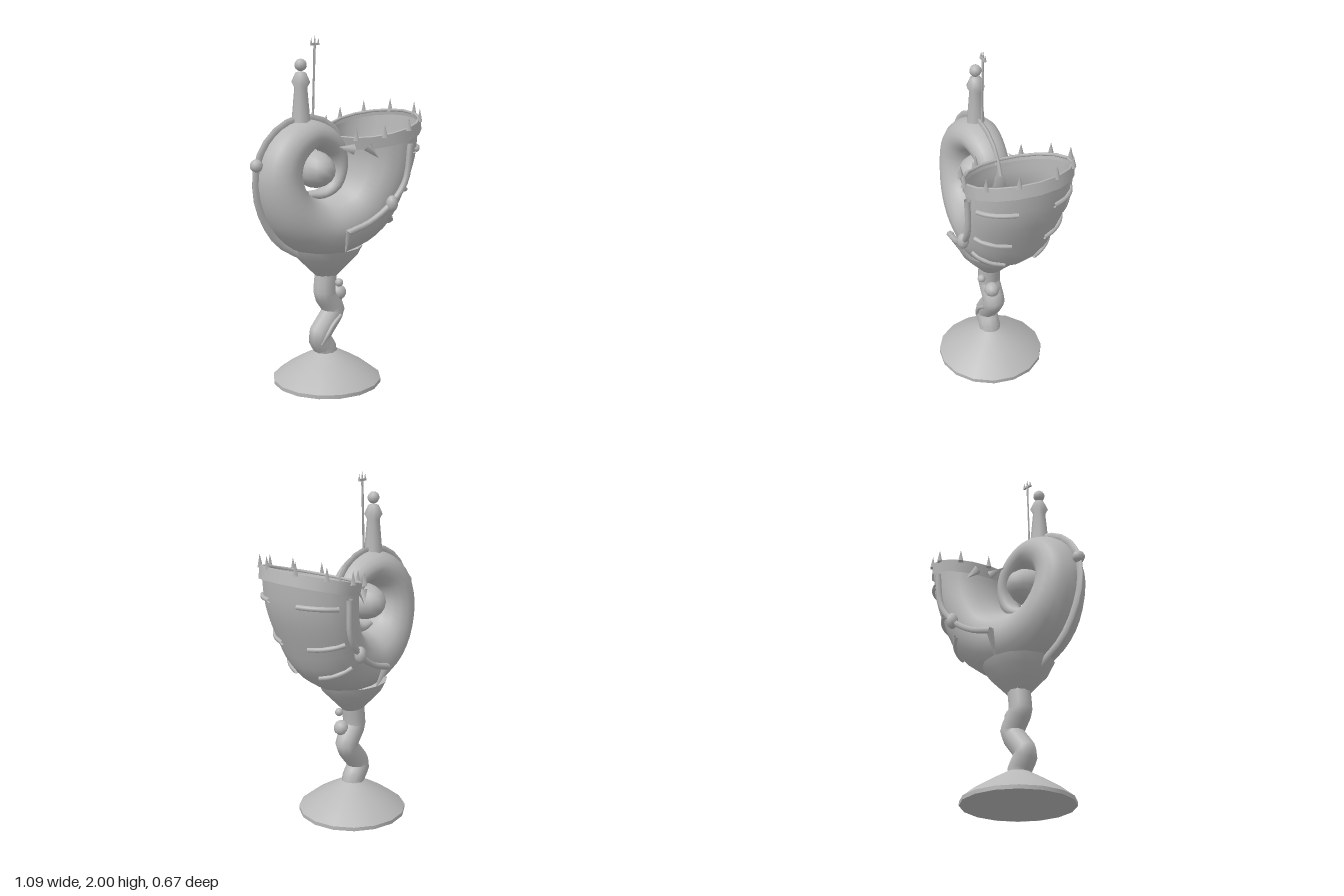
import * as THREE from 'three';

const V = (x, y, z = 0) => new THREE.Vector3(x, y, z);

export function createModel() {
  const cup = new THREE.Group();
  cup.name = 'shellGoblet';
  const metal = new THREE.MeshStandardMaterial({ color: 0xb8b8b8, side: THREE.DoubleSide });
  metal.name = 'grey metal';

  const add = (name, geometry, pos = V(0, 0), parent = cup) => {
    const m = new THREE.Mesh(geometry, metal);
    m.name = name;
    m.position.copy(pos);
    parent.add(m);
    return m;
  };
  const tube = (name, pts, r, segs = pts.length * 3, sides = 6, tension = 0.5) => {
    const path = new THREE.CatmullRomCurve3(pts, false, 'catmullrom', tension);
    return add(name, new THREE.TubeGeometry(path, segs, r, sides));
  };
  const ball = (name, r, pos) => add(name, new THREE.SphereGeometry(r, 10, 7), pos);
  const cone = (name, from, to, r, sides = 4) => {
    const dir = to.clone().sub(from);
    const m = add(name, new THREE.ConeGeometry(r, dir.length(), sides), from.clone().lerp(to, 0.5));
    m.quaternion.setFromUnitVectors(V(0, 1), dir.normalize());
    return m;
  };
  const lathe = (name, profile, sides, pos) =>
    add(name, new THREE.LatheGeometry(profile.map(p => new THREE.Vector2(...p)), sides), pos);

  // Foot: flat underside, short rim and sloping top
  const foot = V(-0.043, 0);
  lathe('footRim', [[0.315, 0], [0.315, 0.022]], 16, foot);
  lathe('footTop', [[0.315, 0.022], [0.24, 0.08], [0.15, 0.135], [0.06, 0.185]], 16, foot);
  add('footUnderside', new THREE.CircleGeometry(0.315, 16).rotateX(Math.PI / 2).rotateY(Math.PI / 2), V(-0.043, 0.001));

  // Crooked stem with knots and a creeping twig
  tube('stem', [V(-0.05, 0.17), V(-0.055, 0.2), V(-0.1, 0.28), V(0.005, 0.42), V(-0.06, 0.53), V(-0.05, 0.65)],
    0.066, 20, 10, 0.25);
  ball('largeStemKnot', 0.045, V(0.025, 0.525, 0.022));
  ball('smallStemKnot', 0.024, V(-0.01, 0.6, 0.073));
  tube('stemTwig', [V(0.01, 0.4, 0.064), V(-0.05, 0.35, 0.07), V(-0.085, 0.3, 0.068), V(-0.115, 0.24, 0.05)], 0.012);

  // Collar under the shell
  lathe('collar', [[0.03, 0.615], [0.07, 0.64], [0.13, 0.7], [0.185, 0.755], [0.215, 0.81]], 14, V(-0.045, 0))
    .scale.z = 0.89;

  // Spiral shell sections: outer point, inner point, half width; from mouth to tip
  const sections = [
    [0.525, 1.51, 0.06, 1.4, 0.295], [0.5, 1.31, 0.07, 1.31, 0.29], [0.42, 1.1, 0.05, 1.21, 0.275],
    [0.325, 0.915, 0, 1.14, 0.25], [0.17, 0.8, -0.06, 1.11, 0.225], [-0.06, 0.755, -0.125, 1.1, 0.2],
    [-0.28, 0.82, -0.19, 1.13, 0.185], [-0.43, 0.97, -0.23, 1.18, 0.17], [-0.505, 1.2, -0.247, 1.26, 0.15],
    [-0.465, 1.38, -0.225, 1.32, 0.14], [-0.35, 1.5, -0.18, 1.36, 0.13], [-0.19, 1.545, -0.14, 1.375, 0.115],
    [-0.04, 1.5, -0.08, 1.35, 0.1], [0.05, 1.41, -0.035, 1.31, 0.09], [0.08, 1.28, -0.015, 1.25, 0.08],
    [0.04, 1.14, -0.04, 1.18, 0.065], [-0.07, 1.08, -0.09, 1.145, 0.05], [-0.2, 1.1, -0.18, 1.14, 0.03],
  ];
  const last = sections.length - 1;
  const outerLine = new THREE.CatmullRomCurve3(sections.map(s => V(s[0], s[1], s[4])));
  const innerLine = new THREE.CatmullRomCurve3(sections.map(s => V(s[2], s[3])));
  // Point on the shell at section s and angle a (0 = outermost)
  const onShell = (s, a, grow = 1) => {
    const o = outerLine.getPoint(s / last), i = innerLine.getPoint(s / last);
    const k = 0.5 + 0.5 * grow * Math.cos(a);
    return V(i.x + (o.x - i.x) * k, i.y + (o.y - i.y) * k, o.z * grow * Math.sin(a));
  };
  const sides = 18, rings = last * 3, verts = [], index = [];
  for (let r = 0; r <= rings; r++) {
    for (let j = 0; j < sides; j++) {
      verts.push(...onShell(r / 3, j / sides * Math.PI * 2).toArray());
      if (r === rings) continue;
      const a = r * sides + j, b = r * sides + (j + 1) % sides;
      index.push(a, b, a + sides, b, b + sides, a + sides);
    }
  }
  const shell = new THREE.BufferGeometry();
  shell.setAttribute('position', new THREE.Float32BufferAttribute(verts, 3));
  shell.setIndex(index);
  shell.computeVertexNormals();
  add('spiralShell', shell);
  add('spiralCore', new THREE.SphereGeometry(0.105, 14, 10), V(-0.133, 1.262)).scale.z = 1.43;

  // Thin ridge along the outside of the whorl
  const ridge = [];
  for (let s = 5.6; s <= 13.6; s += 1) ridge.push(onShell(s, 0, 1.12));
  tube('backRidge', ridge, 0.024, 18, 6).scale.z = 0.4;
  ball('ridgeKnob', 0.036, V(-0.512, 1.318));

  // Mouth band with a crown of thorns
  const mouth = new THREE.Group();
  mouth.name = 'mouthBand';
  mouth.position.set(0.292, 1.452, 0);
  mouth.rotation.z = 0.24;
  cup.add(mouth);
  add('band', new THREE.CylinderGeometry(1, 0.985, 0.07, 16, 1, true), V(0, 0), mouth).scale.set(0.25, 1, 0.312);
  const lip = add('lip', new THREE.TorusGeometry(1, 0.03, 6, 16).rotateX(Math.PI / 2), V(0, 0.03), mouth);
  lip.scale.set(0.242, 0.3, 0.302);
  for (const side of [1, -1]) {
    for (let k = 0; k < 5; k++) {
      const a = (20 + 33.5 * k) * Math.PI / 180 * side;
      const thorn = add('thorn', new THREE.ConeGeometry(0.02, 0.075, 4),
        V(0.25 * Math.cos(a), 0.06, 0.315 * Math.sin(a)), mouth);
      thorn.rotation.z = -0.25;
    }
    cone('hookThorn', V(0.05, 1.37, 0.13 * side), V(-0.04, 1.39, 0.11 * side), 0.03);
    cone('hookThorn', V(0.09, 1.39, 0.2 * side), V(0.13, 1.33, 0.25 * side), 0.03);

    // Side strap with knob and pointed tail
    const strap = [[0.31, 1.4, 0.308], [0.29, 1.2, 0.296], [0.2, 1.07, 0.28], [0.07, 0.98, 0.262], [-0.07, 0.935, 0.245]];
    tube('sideStrap', strap.map(p => V(p[0], p[1], p[2] * side)), 0.018);
    cone('strapTail', V(-0.065, 0.945, 0.245 * side), V(-0.042, 0.765, 0.165 * side), 0.022);
    ball('strapKnob', 0.034, V(0.2, 1.07, 0.285 * side)).scale.y = 1.4;

    // Raised bars across the bowl
    for (const s of [0.75, 1.98, 3]) {
      const bar = [0.36, 0.58, 0.8, 1.02, 1.24].map(a => onShell(s, a * side, 1.01));
      tube('bowlBar', bar, 0.014);
    }
  }

  // Turret finial
  lathe('turret', [[0.06, 1.5], [0.052, 1.54], [0.036, 1.72], [0.052, 1.75], [0.03, 1.8], [0, 1.81]], 8, V(-0.218, 0));
  ball('turretBall', 0.034, V(-0.218, 1.842));

  // Trident
  tube('tridentShaft', [V(-0.138, 1.54), V(-0.124, 1.95)], 0.007, 1);
  add('tridentBar', new THREE.BoxGeometry(0.054, 0.012, 0.012), V(-0.124, 1.95));
  for (const x of [-0.148, -0.124, -0.1]) cone('tridentProng', V(x, 1.945), V(x + 0.002, x === -0.124 ? 2 : 1.985), 0.009);

  return cup;
}
